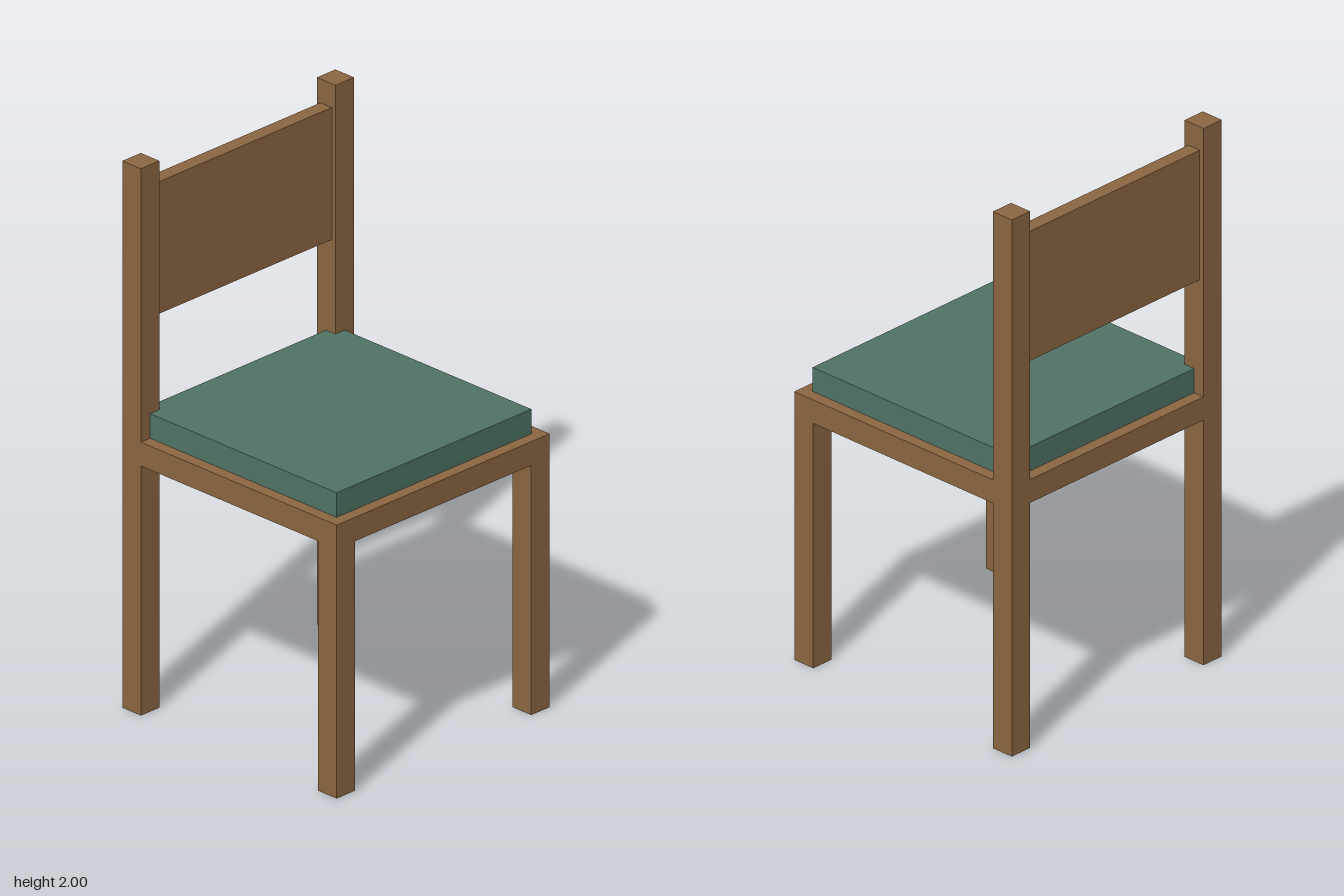
import * as THREE from 'three';

export function createModel() {
  const chair = new THREE.Group();
  chair.name = 'chair';

  const wood = new THREE.MeshStandardMaterial({ name: 'brown wood', color: 0x8b6641 });
  const fabric = new THREE.MeshStandardMaterial({ name: 'green fabric', color: 0x4f7365 });

  // Box given by its x, y and z ranges
  function addBox(name, material, [x0, x1], [y0, y1], [z0, z1]) {
    const mesh = new THREE.Mesh(new THREE.BoxGeometry(x1 - x0, y1 - y0, z1 - z0), material);
    mesh.name = name;
    mesh.position.set((x0 + x1) / 2, (y0 + y1) / 2, (z0 + z1) / 2);
    chair.add(mesh);
  }

  const half = 0.5;        // half of the square footprint
  const inner = 0.413;     // inner faces of the legs
  const seatBottom = 0.913;
  const seatTop = 1;

  // Legs, and posts that continue the back legs above the seat
  for (const [side, x] of [['left', [inner, half]], ['right', [-half, -inner]]]) {
    addBox(side + 'FrontLeg', wood, x, [0, seatBottom], [inner, half]);
    addBox(side + 'BackLeg', wood, x, [0, seatBottom], [-half, -inner]);
    addBox(side + 'BackPost', wood, x, [seatTop, 2], [-half, -inner]);
  }

  // Solid seat board with an inset cushion
  addBox('seat', wood, [-half, half], [seatBottom, seatTop], [-half, half]);
  addBox('cushion', fabric, [-0.457, 0.457], [seatTop, 1.09], [-0.457, 0.457]);

  // Panel between the posts
  addBox('backrest', wood, [-inner, inner], [1.43, 1.913], [-0.483, -0.43]);

  return chair;
}
